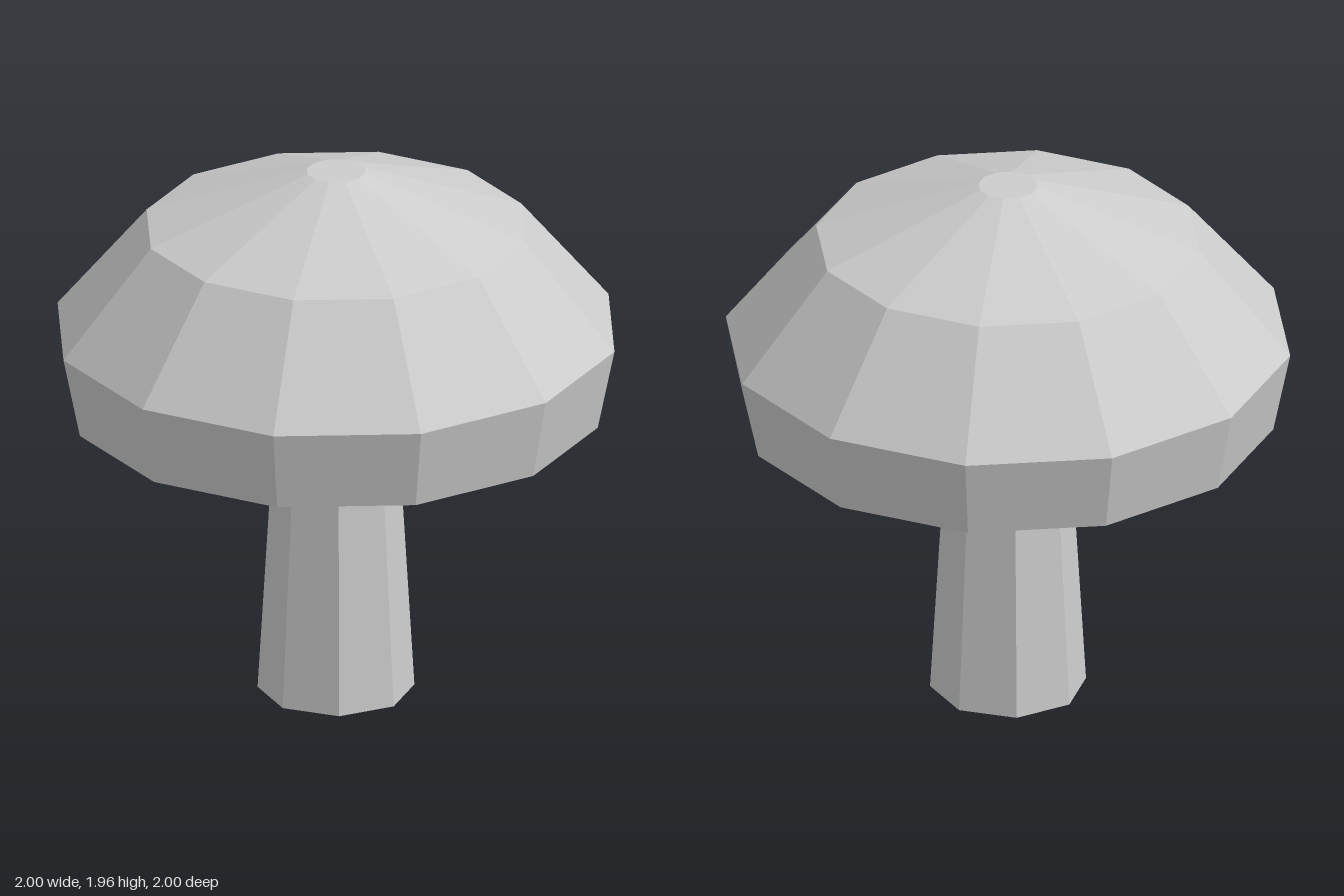
import * as THREE from 'three';

const grey = new THREE.MeshStandardMaterial({ color: 0xcccccc, flatShading: true });
grey.name = 'grey';

// Faceted mesh with hard edges
function faceted(name, geometry) {
  const flat = geometry.toNonIndexed();
  flat.computeVertexNormals();
  const mesh = new THREE.Mesh(flat, grey);
  mesh.name = name;
  return mesh;
}

// Faceted solid of revolution from [radius, height] points, closed at both ends
function rings(name, sides, profile) {
  const points = [[0, profile[0][1]], ...profile, [0, profile[profile.length - 1][1]]]
    .map(([r, y]) => new THREE.Vector2(r, y));
  return faceted(name, new THREE.LatheGeometry(points, sides));
}

export function createModel() {
  const model = new THREE.Group();
  model.name = 'mushroom';

  // Tapered eight-sided stem
  model.add(rings('stem', 8, [[0.275, 0], [0.212, 1.07]]));

  // Twelve-sided cap with a flat underside and a small flat crown
  model.add(rings('cap', 12, [[0.94, 1.07], [1, 1.365], [0.68, 1.75], [0.105, 1.96]]));

  // Ten thin four-sided gill rods radiating below the cap
  const gills = new THREE.Group();
  gills.name = 'gills';
  const inner = 0.255, outer = 0.805, count = 10;
  for (let i = 0; i < count; i++) {
    const rod = new THREE.CylinderGeometry(0.015, 0.015, outer - inner, 4);
    rod.rotateZ(Math.PI / 2);
    rod.translate((inner + outer) / 2, 1.035, 0);
    rod.rotateY((i / count) * Math.PI * 2);
    gills.add(faceted('gill', rod));
  }
  model.add(gills);

  return model;
}
